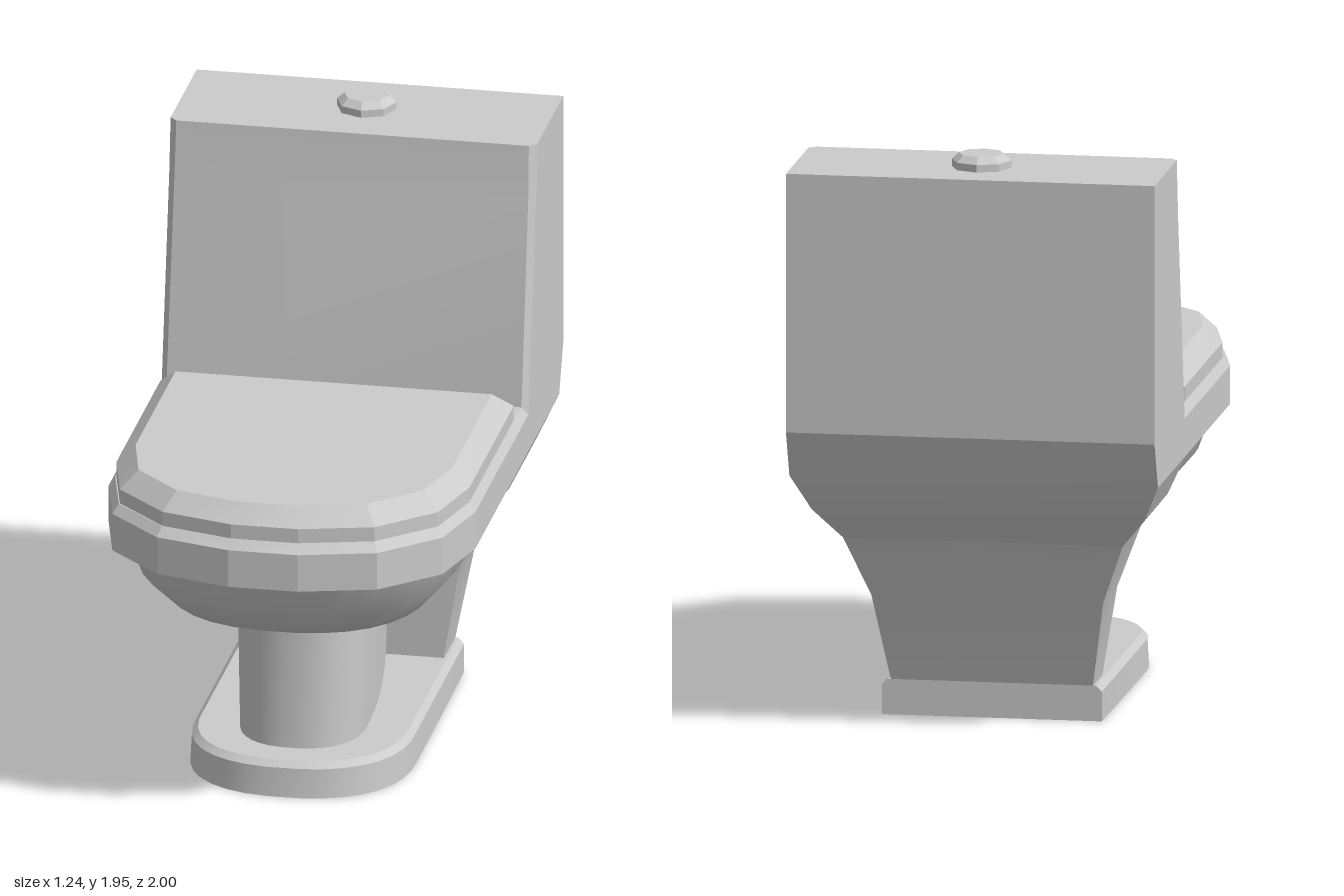
import * as THREE from 'three';
import { toCreasedNormals } from 'three/addons/utils/BufferGeometryUtils.js';

const material = new THREE.MeshStandardMaterial({ color: 0xcccccc });

// Mirror a half outline of [x, z] points, running front to back on +x.
const mirrored = half => [...half, ...half.slice().reverse().map(([x, z]) => [-x, z])];

// Closed solid through rings stacked bottom to top: [{ y, half }].
function loft(name, levels, crease) {
  const rings = levels.map(l => mirrored(l.half).map(([x, z]) => [x, l.y, z]));
  const n = rings[0].length;
  const index = [];
  rings.slice(1).forEach((_, r) => {
    for (let i = 0; i < n; i++) {
      const a = r * n + i, b = r * n + (i + 1) % n;
      index.push(a, b, b + n, a, b + n, a + n);
    }
  });
  const top = (rings.length - 1) * n;
  for (let i = 1; i < n - 1; i++) {
    index.push(0, i + 1, i);
    index.push(top, top + i, top + i + 1);
  }
  const geo = new THREE.BufferGeometry();
  geo.setAttribute('position', new THREE.Float32BufferAttribute(rings.flat(2), 3));
  geo.setIndex(index);
  const mesh = new THREE.Mesh(toCreasedNormals(geo, crease), material);
  mesh.name = name;
  return mesh;
}

// Faceted D outline: straight sides, angular front.
const facetedD = (w, front, mid, back) => [
  ...[[0.19, 1], [0.6, 0.86], [0.9, 0.5], [1, 0]].map(([x, z]) => [x * w, mid + z * (front - mid)]),
  [w, back],
];

// Rounded D outline that narrows softly to half width wb at the back.
function roundD(w, front, mid, back, wb, power = 0.85) {
  const half = [], n = 8;
  for (let i = 0; i < n; i++) {
    const a = (i + 0.5) / n * Math.PI / 2;
    half.push([w * Math.sin(a) ** power, mid + (front - mid) * Math.cos(a) ** power]);
  }
  for (let i = 0; i <= 5; i++) {
    const u = i / 5;
    half.push([wb + (w - wb) * Math.cos(u * Math.PI / 2), mid + (back - mid) * u]);
  }
  return half;
}

export function createModel() {
  const group = new THREE.Group();

  // Foot plate
  group.add(loft('base', [
    { y: 0, half: roundD(0.375, 0.665, 0.28, -0.57, 0.37) },
    { y: 0.1, half: roundD(0.37, 0.655, 0.28, -0.57, 0.37) },
    { y: 0.12, half: roundD(0.35, 0.63, 0.28, -0.57, 0.35) },
  ], 0.5));

  // Stem under the bowl
  group.add(loft('pedestal', [
    { y: 0.11, half: roundD(0.21, 0.52, 0.28, -0.4, 0.14) },
    { y: 0.6, half: roundD(0.22, 0.5, 0.28, -0.4, 0.15) },
  ], 0.8));

  // Bowl, from its narrow underside up to the rim
  group.add(loft('bowl', [
    [0.57, 0.22, 0.5, 0.15], [0.63, 0.44, 0.77, 0.28],
    [0.74, 0.535, 0.9, 0.4], [0.88, 0.585, 0.97, 0.47],
  ].map(([y, w, front, wb]) => ({ y, half: roundD(w, front, 0.3, -0.4, wb) })), 0.85));

  // Rim with a bevelled upper edge
  group.add(loft('rim', [
    { y: 0.87, half: facetedD(0.62, 1, 0.5, -0.41) },
    { y: 1, half: facetedD(0.62, 1, 0.5, -0.41) },
    { y: 1.03, half: facetedD(0.6, 0.97, 0.49, -0.41) },
  ], 0.2));

  // Closed lid
  group.add(loft('lid', [
    { y: 1.025, half: facetedD(0.597, 0.968, 0.485, -0.27) },
    { y: 1.08, half: facetedD(0.597, 0.968, 0.485, -0.27) },
    { y: 1.14, half: facetedD(0.535, 0.91, 0.47, -0.21) },
  ], 0.2));

  // Tank and rear body: height, half width, front z, back z, front corner bevel
  group.add(loft('tank', [
    [0.12, 0.34, -0.38, -0.57, 0.002], [0.42, 0.39, -0.38, -0.66, 0.002],
    [0.63, 0.47, -0.38, -0.75, 0.002], [0.74, 0.56, -0.38, -0.84, 0.002],
    [0.87, 0.62, -0.38, -0.93, 0.002], [1.03, 0.62, -0.387, -1, 0.02],
    [1.72, 0.62, -0.512, -1, 0.022], [1.905, 0.62, -0.533, -1, 0.024],
  ].map(([y, w, front, back, c]) => ({
    y, half: [[w - c, front], [w, front - c], [w, back]],
  })), 0.2));

  // Eight-sided flush button
  const button = new THREE.Group();
  button.name = 'flushButton';
  [[0.1, 0.1, 0.03, 1.915], [0.075, 0.1, 0.022, 1.941]].forEach(([rTop, rBottom, h, y], i) => {
    const geo = toCreasedNormals(new THREE.CylinderGeometry(rTop, rBottom, h, 8), 0.2);
    const part = new THREE.Mesh(geo, material);
    part.name = i ? 'buttonCap' : 'buttonCollar';
    part.position.set(0, y, -0.775);
    button.add(part);
  });
  group.add(button);

  return group;
}
